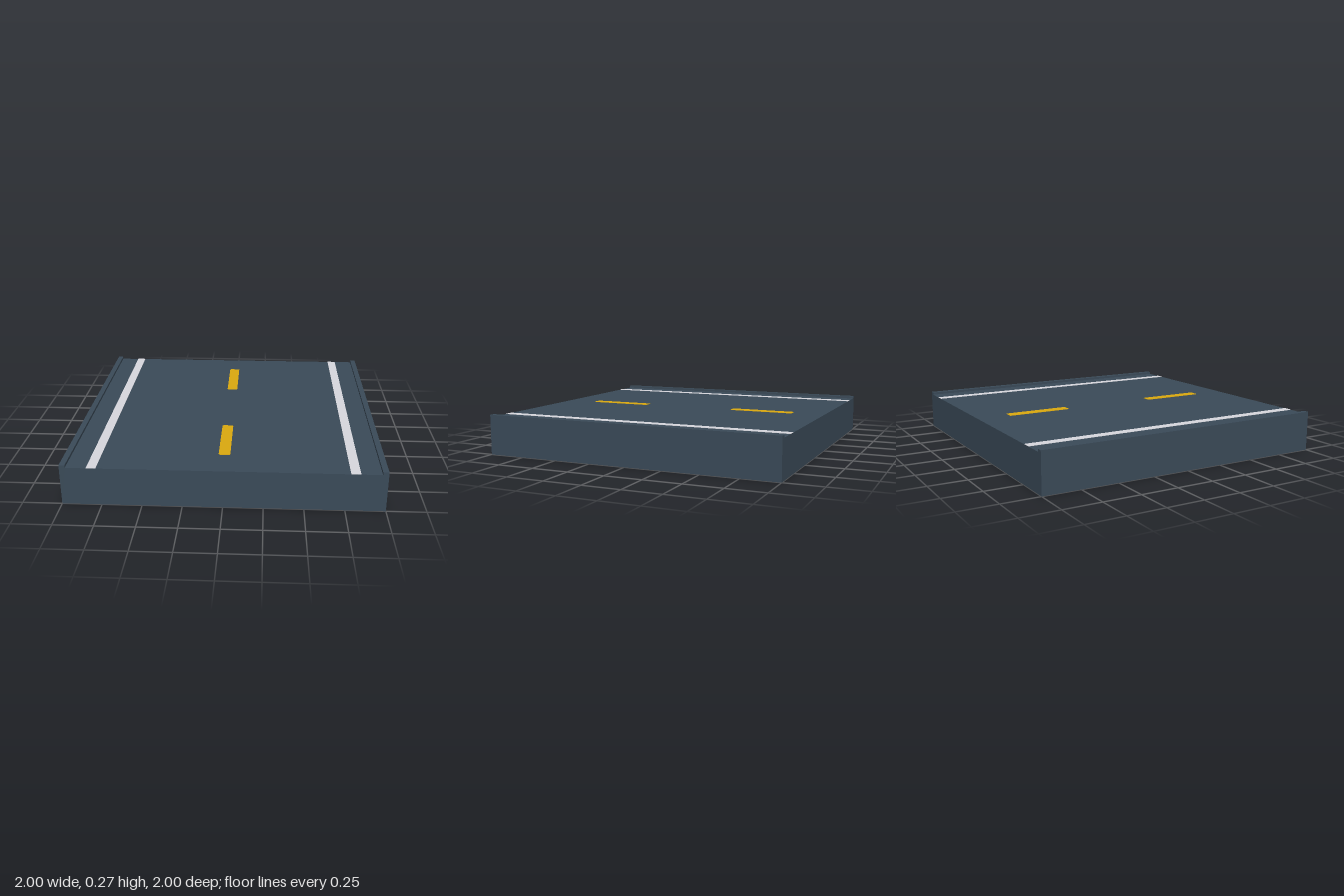
import * as THREE from 'three';

const material = (name, color) => {
  const m = new THREE.MeshStandardMaterial({ color });
  m.name = name;
  return m;
};

// Rectangle with clipped, softened corners for the painted dashes
function dashShape(w, l, r) {
  const x = w / 2, y = l / 2;
  const s = new THREE.Shape();
  s.moveTo(-x + r, -y);
  s.lineTo(x - r, -y);
  s.quadraticCurveTo(x, -y, x, -y + r);
  s.lineTo(x, y - r);
  s.quadraticCurveTo(x, y, x - r, y);
  s.lineTo(-x + r, y);
  s.quadraticCurveTo(-x, y, -x, y - r);
  s.lineTo(-x, -y + r);
  s.quadraticCurveTo(-x, -y, -x + r, -y);
  return s;
}

export function createModel() {
  const asphalt = material('asphalt', 0x3a4a58);
  const white = material('white paint', 0xd8d8de);
  const yellow = material('yellow paint', 0xdba90f);

  const ROAD = 0.25, TOP = 0.267, CURB = 0.963, PAINT = 0.002;
  const group = new THREE.Group();
  group.name = 'roadTile';

  const add = (name, geometry, mat, x, y, z) => {
    const mesh = new THREE.Mesh(geometry, mat);
    mesh.name = name;
    mesh.position.set(x, y, z);
    group.add(mesh);
  };

  // Slab with a raised curb along each side, as one extruded section
  const section = new THREE.Shape([
    [-1, 0], [1, 0], [1, TOP], [CURB, TOP],
    [CURB, ROAD], [-CURB, ROAD], [-CURB, TOP], [-1, TOP],
  ].map(([x, y]) => new THREE.Vector2(x, y)));
  add('roadSlab', new THREE.ExtrudeGeometry(section, { depth: 2, bevelEnabled: false }), asphalt, 0, 0, -1);

  // White edge lines
  const line = new THREE.BoxGeometry(0.06, PAINT, 2);
  for (const [name, side] of [['leftEdgeLine', 1], ['rightEdgeLine', -1]]) {
    add(name, line, white, side * 0.804, ROAD + PAINT / 2, 0);
  }

  // Yellow centre dashes
  const dash = new THREE.ExtrudeGeometry(dashShape(0.074, 0.446, 0.012), {
    depth: PAINT, bevelEnabled: false, curveSegments: 3,
  });
  dash.rotateX(-Math.PI / 2);
  for (const [name, z] of [['frontDash', 0.555], ['backDash', -0.555]]) {
    add(name, dash, yellow, 0, ROAD, z);
  }

  return group;
}
